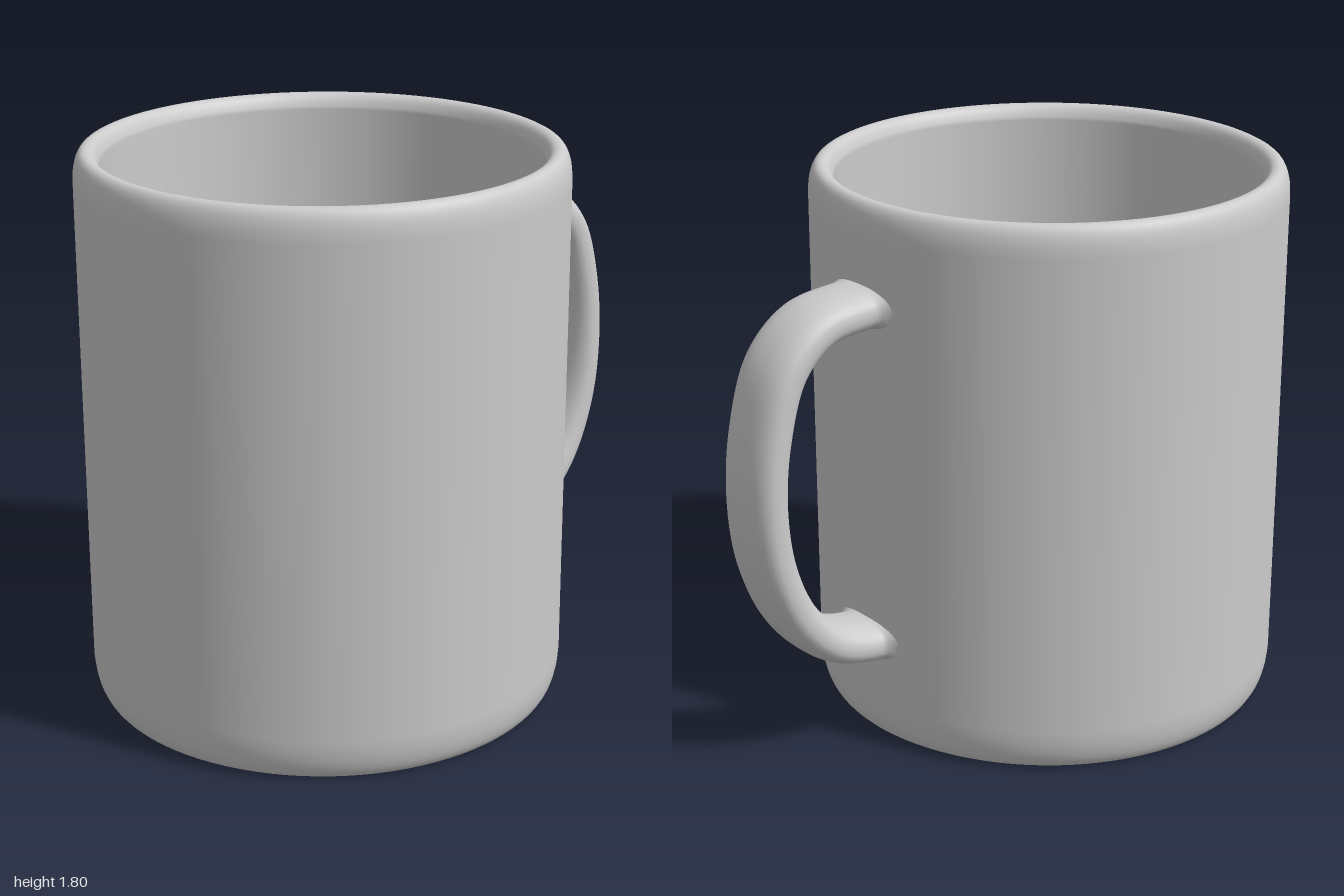
import * as THREE from 'three';

const CENTRE_X = -0.23;

// Wall, rim, inside and recessed underside as one turned profile
function createCup(material) {
  const p = new THREE.Path();
  p.moveTo(0.0001, 0.05);
  p.lineTo(0.5, 0.05);
  p.bezierCurveTo(0.66, 0.05, 0.685, 0, 0.72, 0); // underside dish
  p.bezierCurveTo(0.75, 0, 0.77, 0.06, 0.77, 0.14); // outer foot
  p.lineTo(0.77, 1.7);
  p.bezierCurveTo(0.77, 1.76, 0.755, 1.8, 0.73, 1.8); // rim
  p.bezierCurveTo(0.71, 1.8, 0.697, 1.79, 0.686, 1.75);
  p.lineTo(0.676, 0.22);
  p.bezierCurveTo(0.66, 0.15, 0.64, 0.1, 0.58, 0.1); // inside floor corner
  p.lineTo(0.0001, 0.1);
  const cup = new THREE.Mesh(new THREE.LatheGeometry(p.getPoints(10), 96), material);
  cup.name = 'cup';
  cup.position.x = CENTRE_X;
  return cup;
}

// Rounded oval section swept along a curve in the XY plane
function createHandle(material) {
  const curve = new THREE.CatmullRomCurve3([
    [0.49, 1.473], [0.57, 1.473], [0.73, 1.447], [0.845, 1.345], [0.914, 1.14], [0.935, 0.92],
    [0.907, 0.7], [0.82, 0.505], [0.7, 0.392], [0.57, 0.353], [0.49, 0.353],
  ].map(([x, y]) => new THREE.Vector3(x, y, 0)), false, 'centripetal');
  const rings = 96, sides = 32;
  const positions = [], indices = [];
  const power = (v) => Math.sign(v) * Math.pow(Math.abs(v), 0.82);

  for (let i = 0; i <= rings; i++) {
    const c = curve.getPointAt(i / rings);
    const t = curve.getTangentAt(i / rings);
    // The section flares sideways where it meets the wall
    const near = Math.min(1, Math.max(0, (0.555 - c.x) / 0.065)) ** 2;
    for (let j = 0; j < sides; j++) {
      const a = j / sides * Math.PI * 2;
      const across = (0.066 + 0.02 * near) * power(Math.sin(a));
      const z = (0.123 + 0.14 * near) * power(Math.cos(a));
      positions.push(c.x - t.y * across, c.y + t.x * across, z);
    }
  }
  for (let i = 0; i < rings; i++) {
    for (let j = 0; j < sides; j++) {
      const a = i * sides + j, a2 = i * sides + (j + 1) % sides;
      const b = a + sides, b2 = a2 + sides;
      indices.push(a, a2, b, b, a2, b2);
    }
  }
  const geometry = new THREE.BufferGeometry();
  geometry.setAttribute('position', new THREE.Float32BufferAttribute(positions, 3));
  geometry.setIndex(indices);
  geometry.computeVertexNormals();
  const handle = new THREE.Mesh(geometry, material);
  handle.name = 'handle';
  return handle;
}

export function createModel() {
  const group = new THREE.Group();
  group.name = 'mug';
  const material = new THREE.MeshStandardMaterial({ color: 0xcccccc, side: THREE.DoubleSide });
  group.add(createCup(material), createHandle(material));
  return group;
}
